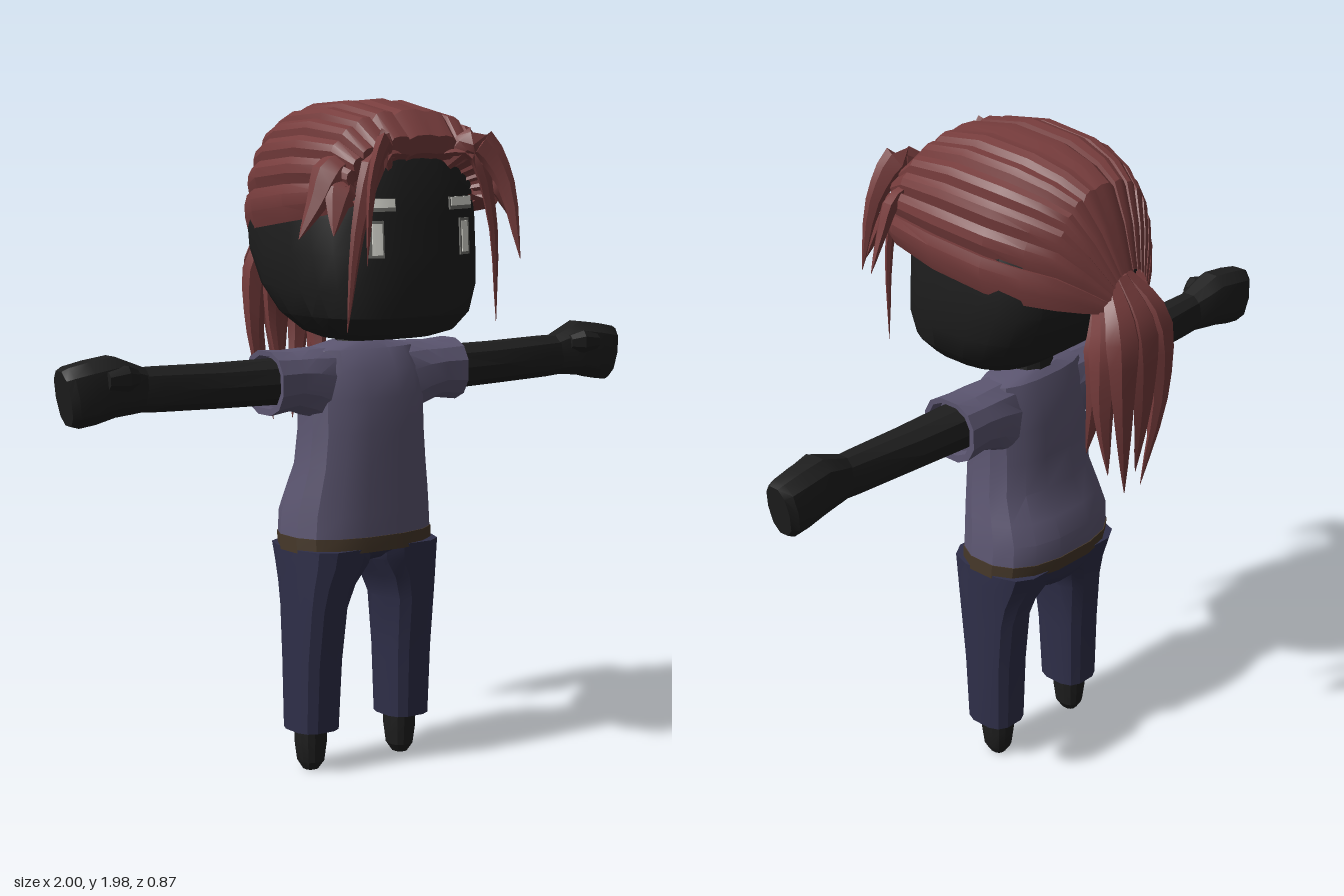
import * as THREE from 'three';
import { toCreasedNormals } from 'three/addons/utils/BufferGeometryUtils.js';

const V = (x, y, z) => new THREE.Vector3(x, y, z);
const sgnPow = (v, e) => Math.sign(v) * Math.pow(Math.abs(v), e);

// Skins rows of points; closed rows wrap round and get end caps.
function skin(rows, closed = true) {
  const n = rows[0].length, pos = [], idx = [];
  rows.forEach(r => r.forEach(p => pos.push(p.x, p.y, p.z)));
  const cols = closed ? n : n - 1;
  for (let i = 0; i < rows.length - 1; i++) {
    for (let j = 0; j < cols; j++) {
      const k = (j + 1) % n, a = i * n + j, b = i * n + k, c = b + n, d = a + n;
      idx.push(a, b, c, a, c, d);
    }
  }
  if (closed) {
    [0, rows.length - 1].forEach((r, end) => {
      const mid = rows[r].reduce((s, p) => s.add(p), V(0, 0, 0)).divideScalar(n);
      const m = pos.length / 3;
      pos.push(mid.x, mid.y, mid.z);
      for (let j = 0; j < n; j++) {
        const a = r * n + j, b = r * n + (j + 1) % n;
        idx.push(m, end ? a : b, end ? b : a);
      }
    });
  }
  const g = new THREE.BufferGeometry();
  g.setAttribute('position', new THREE.Float32BufferAttribute(pos, 3));
  g.setIndex(idx);
  return g;
}

// Superellipse rings up the y axis: [y, x0, x1, z0, z1]
function loftY(list, sides = 16, power = 2.5) {
  return skin(list.map(([y, x0, x1, z0, z1]) => Array.from({ length: sides }, (_, j) => {
    const t = (j + 0.5) / sides * Math.PI * 2;
    return V((x0 + x1) / 2 + (x1 - x0) / 2 * sgnPow(Math.sin(t), 2 / power), y,
      (z0 + z1) / 2 + (z1 - z0) / 2 * sgnPow(Math.cos(t), 2 / power));
  })));
}

// Rings along the x axis: [x, y0, y1, z0, z1, slant]
function loftX(list, sides = 10, power = 2.4) {
  return skin(list.map(([x, y0, y1, z0, z1, slant = 0]) => Array.from({ length: sides }, (_, j) => {
    const t = (j + 0.5) / sides * Math.PI * 2;
    const dy = (y1 - y0) / 2 * sgnPow(Math.cos(t), 2 / power);
    return V(x + dy * slant, (y0 + y1) / 2 + dy,
      (z0 + z1) / 2 + (z1 - z0) / 2 * sgnPow(Math.sin(t), 2 / power));
  })));
}

// Tapered, flattened lock of hair along a curve
function lock(points, width, thick, across) {
  const curve = new THREE.CatmullRomCurve3(points.map(p => V(...p)));
  const rows = [];
  for (let i = 0; i <= 10; i++) {
    const u = i / 10, c = curve.getPoint(u), T = curve.getTangent(u);
    const s = V(...across).addScaledVector(T, -T.dot(V(...across))).normalize();
    const n = s.clone().cross(T);
    const k = u < 0.4 ? 0.5 + 1.25 * u : Math.max(0.02, Math.pow((1 - u) / 0.6, 0.8));
    rows.push(Array.from({ length: 6 }, (_, j) => {
      const t = j / 6 * Math.PI * 2 + Math.PI / 6 * 3;
      return c.clone().addScaledVector(s, width * k * Math.sin(t)).addScaledVector(n, thick * k * Math.cos(t));
    }));
  }
  return skin(rows);
}

function mirrored(g) {
  const m = g.clone().scale(-1, 1, 1), a = m.index.array;
  for (let i = 0; i < a.length; i += 3) [a[i], a[i + 1]] = [a[i + 1], a[i]];
  return m;
}

export function createModel() {
  const model = new THREE.Group();
  const mat = (name, color) => {
    const m = new THREE.MeshStandardMaterial({ color });
    m.name = name;
    return m;
  };
  const skinMat = mat('black skin', 0x1e1e1e), shirt = mat('muted violet shirt', 0x5c5671);
  const trousers = mat('navy trousers', 0x2f2f49), leather = mat('brown belt', 0x46382a);
  const hair = mat('auburn hair', 0x763c3c), white = mat('eye white', 0xdcdcd4);
  const grey = mat('eye grey', 0x6c6c68);
  hair.side = shirt.side = THREE.DoubleSide;

  const add = (name, geo, material, crease = 0.45) => {
    const mesh = new THREE.Mesh(toCreasedNormals(geo, crease), material);
    mesh.name = name;
    model.add(mesh);
  };
  const pair = (name, geo, material, crease) => {
    add('left' + name, geo, material, crease);
    add('right' + name, mirrored(geo), material, crease);
  };

  // Head and neck
  const head = [[1.3, .16, -.02, .23], [1.32, .21, -.07, .295], [1.37, .26, -.14, .33], [1.45, .29, -.21, .34],
    [1.55, .3, -.265, .335], [1.65, .3, -.28, .33], [1.75, .285, -.26, .32], [1.83, .25, -.2, .3], [1.9, .18, -.1, .22]];
  add('head', loftY(head.map(([y, w, b, f]) => [y, -w, w, b, f]), 24, 2.8), skinMat);
  add('neck', loftY([[1.22, -.08, .08, -.05, .07], [1.34, -.06, .06, -.04, .06]], 10, 2), skinMat);

  // Eyes and brows: thin plates bent to the face
  const faceZ = (x, y) => {
    let i = 0;
    while (head[i + 1][0] < y) i++;
    const t = (y - head[i][0]) / (head[i + 1][0] - head[i][0]);
    const [w, b, f] = [1, 2, 3].map(k => head[i][k] + (head[i + 1][k] - head[i][k]) * t);
    return (b + f) / 2 + (f - b) / 2 * Math.pow(1 - Math.pow(Math.abs(x) / w, 2.8), 1 / 2.8);
  };
  const plate = (x, y, w, h, lift) => {
    const g = new THREE.BoxGeometry(w, h, 0.008, 6, 4, 1).translate(x, y, lift), p = g.attributes.position;
    for (let i = 0; i < p.count; i++) p.setZ(i, p.getZ(i) + faceZ(p.getX(i), p.getY(i)));
    return g;
  };
  pair('EyeRim', plate(.157, 1.593, .044, .104, .001), grey);
  pair('Eye', plate(.155, 1.593, .028, .088, .004), white);
  pair('BrowRim', plate(.148, 1.688, .104, .036, .001), grey);
  pair('Brow', plate(.148, 1.693, .096, .024, .004), white);

  // Shirt, sleeves and belt
  const torso = [[.71, .24, -.165, .155], [.78, .235, -.165, .155], [.84, .225, -.14, .156], [.92, .21, -.105, .156],
    [1.02, .2, -.098, .156], [1.12, .2, -.093, .15], [1.2, .2, -.08, .13], [1.26, .18, -.062, .095], [1.28, .09, -.04, .07]];
  add('shirt', loftY(torso.map(([y, w, b, f]) => [y, -w, w, b, f])), shirt);
  pair('Sleeve', loftX([[.12, 1.02, 1.27, -.07, .11], [.2, 1.07, 1.268, -.075, .115], [.26, 1.09, 1.265, -.075, .115],
    [.335, 1.08, 1.27, -.078, .12], [.334, 1.1, 1.255, -.06, .105], [.3, 1.1, 1.25, -.05, .1]], 12), shirt);
  add('belt', loftY([[.67, -.242, .242, -.16, .157], [.715, -.242, .242, -.168, .158]]), leather);

  // Arms, hands and thumbs
  pair('Arm', loftX([[.28, 1.11, 1.245, -.05, .095], [.5, 1.115, 1.245, -.04, .088], [.7, 1.12, 1.25, -.025, .075],
    [.78, 1.125, 1.25, -.02, .07]]), skinMat);
  pair('Hand', loftX([[.74, 1.125, 1.25, -.02, .07], [.79, 1.12, 1.27, -.035, .08], [.84, 1.115, 1.29, -.045, .083],
    [.91, 1.1, 1.28, -.045, .083, .1], [.965, 1.093, 1.268, -.04, .075, .16], [.985, 1.1, 1.258, -.025, .06, .18]]), skinMat);
  pair('Thumb', loftX([[.78, 1.2, 1.25, .04, .08], [.82, 1.19, 1.265, .05, .1], [.88, 1.2, 1.25, .05, .095]], 8), skinMat);

  // Trousers and feet
  add('trouserSeat', loftY([[.6, -.09, .09, -.125, -.02], [.64, -.2, .2, -.15, .1], [.68, -.24, .24, -.16, .154]]), trousers);
  pair('TrouserLeg', loftY([[.13, .095, .237, -.07, .085], [.34, .088, .24, -.076, .096], [.5, .08, .24, -.09, .117],
    [.57, .055, .24, -.108, .13], [.63, .01, .24, -.135, .145], [.68, 0, .24, -.155, .154]], 12, 3), trousers);
  pair('Foot', loftY([[.005, .145, .187, -.022, .026], [.03, .128, .202, -.038, .043], [.09, .12, .21, -.045, .05],
    [.16, .12, .21, -.045, .05]], 12), skinMat);

  // Swept-back hair: sections [z, lower edge, half width, top], ridged into strands
  const sections = [[.28, 1.69, .22, 1.8], [.325, 1.69, .25, 1.83], [.33, 1.68, .28, 1.88], [.26, 1.66, .31, 1.95], [.1, 1.635, .328, 1.98],
    [-.08, 1.61, .312, 1.97], [-.19, 1.59, .262, 1.94], [-.26, 1.58, .21, 1.9], [-.31, 1.57, .15, 1.8], [-.355, 1.56, .08, 1.67]];
  const strands = 13, ridge = [.945, .995, 1.005, .985];
  add('sweptHair', skin(sections.map(([z, low, w, top]) => {
    const row = [];
    for (let k = 0; k < strands; k++) {
      for (let j = 0; j < 4; j++) {
        const a = ((k + (j + .02) / 3.1) / strands - .5) * Math.PI;
        const r = ridge[k < strands / 2 ? j : 3 - j];
        row.push(V(w * r * sgnPow(Math.sin(a), .78), low + (top - low) * r * sgnPow(Math.max(0, Math.cos(a)), .78), z));
      }
    }
    // Lip tucked in towards the head
    row.unshift(V(-w * .8, low + .02, z * .9));
    row.push(V(w * .8, low + .02, z * .9));
    return row;
  }), false), hair, 0.4);

  // Fringe locks beside the face
  [
    [[[.1, 1.8, .3], [.16, 1.865, .36], [.23, 1.76, .4], [.27, 1.53, .43]], .045, .022, [.7, 0, .7]],
    [[[.08, 1.83, .31], [.17, 1.82, .34], [.235, 1.64, .345], [.265, 1.34, .33]], .034, .018, [1, 0, -.4]],
    [[[.19, 1.82, .27], [.28, 1.79, .28], [.33, 1.7, .28], [.385, 1.6, .27]], .05, .025, [.5, .5, -.7]],
    [[[.21, 1.78, .28], [.27, 1.74, .31], [.3, 1.68, .33], [.325, 1.61, .35]], .045, .02, [.7, .3, -.5]],
  ].forEach((l, i) => pair('FringeLock' + (i + 1), lock(...l), hair));

  // Ponytail
  add('ponytailCentre', lock([[0, 1.64, -.32], [0, 1.52, -.4], [0, 1.3, -.415], [0, 1.06, -.39]], .07, .028, [1, 0, 0]), hair);
  [
    [[[.03, 1.64, -.31], [.07, 1.53, -.39], [.08, 1.3, -.41], [.035, 1.0, -.38]], .06, .034, [1, 0, .2]],
    [[[.05, 1.61, -.3], [.1, 1.5, -.36], [.115, 1.3, -.365], [.085, 1.07, -.36]], .05, .04, [.8, 0, .6]],
    [[[.03, 1.61, -.29], [.065, 1.47, -.32], [.08, 1.32, -.315], [.07, 1.1, -.265]], .055, .03, [.8, 0, .6]],
  ].forEach((l, i) => pair('PonytailLock' + (i + 1), lock(...l), hair));

  return model;
}
